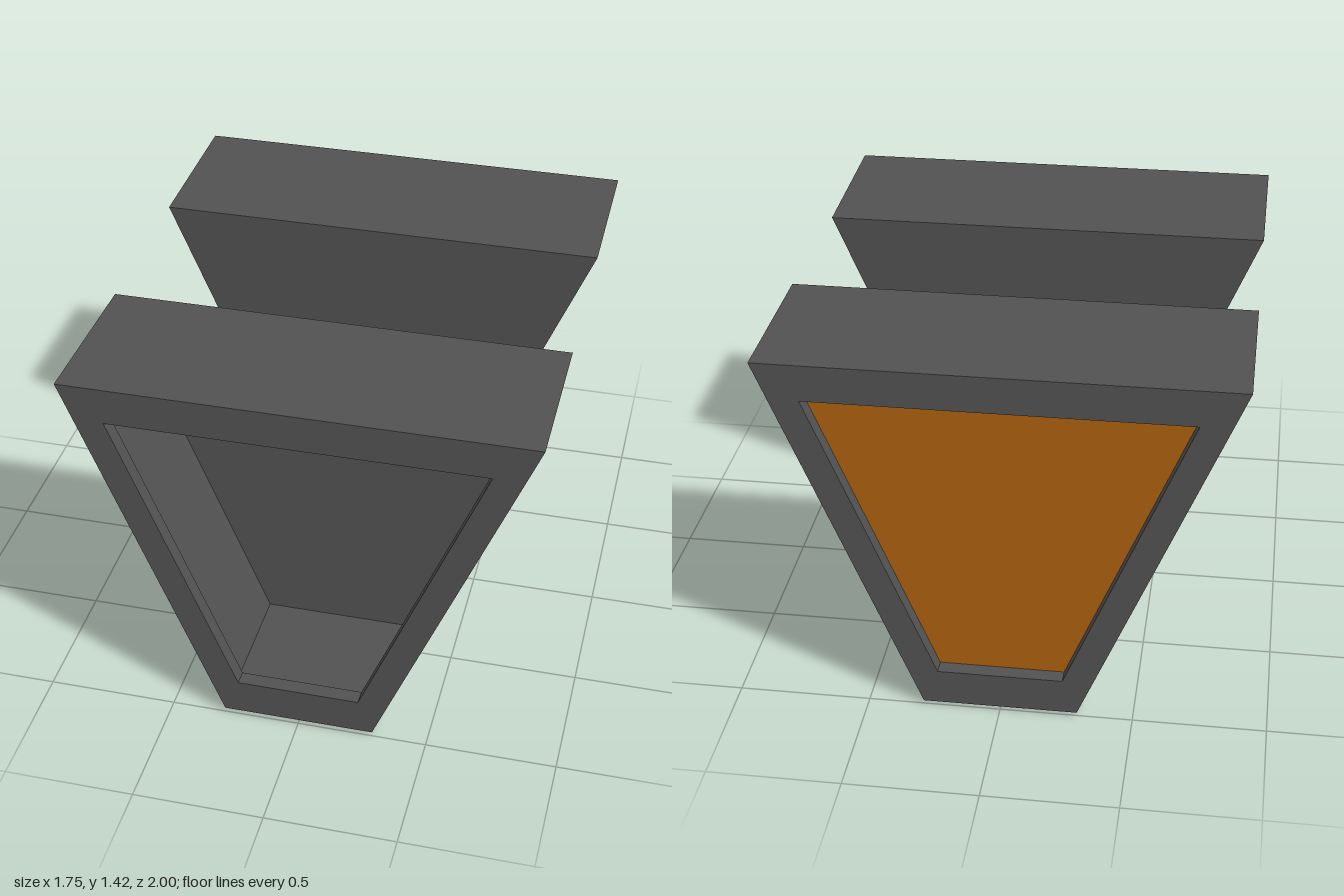
import * as THREE from 'three';

const HEIGHT = 1.4, DEPTH = 0.648, LIP = 0.06;
const housingGrey = new THREE.MeshStandardMaterial({ color: 0x525252, side: THREE.DoubleSide });
housingGrey.name = 'housing grey';
const panelOrange = new THREE.MeshStandardMaterial({ color: 0xae620f });
panelOrange.name = 'panel orange';

// Symmetric trapezoid corners, counter-clockwise from the bottom left
const trapezoid = (bottom, top, y0, y1) => [
  new THREE.Vector2(-bottom, y0), new THREE.Vector2(bottom, y0),
  new THREE.Vector2(top, y1), new THREE.Vector2(-top, y1),
];
const outer = trapezoid(0.291, 0.873, 0, HEIGHT);
const opening = trapezoid(0.235, 0.7, 0.14, HEIGHT - 0.14);

function addMesh(parent, name, geometry, material) {
  const mesh = new THREE.Mesh(geometry, material);
  mesh.name = name;
  parent.add(mesh);
  return mesh;
}

// Hollow shell: four side walls and a closed rear wall, open at the front
function shellGeometry(zBack, zFront) {
  const positions = [];
  const quad = (...corners) => {
    for (const i of [0, 1, 2, 0, 2, 3]) positions.push(...corners[i]);
  };
  const at = (i, z) => [outer[i % 4].x, outer[i % 4].y, z];
  for (let i = 0; i < 4; i++) {
    quad(at(i, zFront), at(i, zBack), at(i + 1, zBack), at(i + 1, zFront));
  }
  quad(at(3, zBack), at(2, zBack), at(1, zBack), at(0, zBack));
  const geometry = new THREE.BufferGeometry();
  geometry.setAttribute('position', new THREE.Float32BufferAttribute(positions, 3));
  geometry.computeVertexNormals();
  return geometry;
}

// Tapered housing whose opening faces +z
function createHousing(name) {
  const housing = new THREE.Group();
  housing.name = name;
  const lipZ = DEPTH / 2 - LIP;
  addMesh(housing, 'shell', shellGeometry(-DEPTH / 2, lipZ), housingGrey);

  // Bezel around the opening
  const shape = new THREE.Shape(outer);
  shape.holes.push(new THREE.Path(opening));
  const bezel = new THREE.ExtrudeGeometry(shape, { depth: LIP, bevelEnabled: false });
  addMesh(housing, 'bezel', bezel, housingGrey).position.z = lipZ;
  return housing;
}

export function createModel() {
  const model = new THREE.Group();
  model.name = 'pairedHousings';

  // Open front housing, leaning slightly back
  const front = createHousing('frontHousing');
  front.position.set(0, 0.009, 0.676);
  front.rotation.x = -0.0275;
  model.add(front);

  // Rear housing, turned round, with a recessed panel
  const rear = createHousing('rearHousing');
  rear.position.set(0, 0.013, -0.676);
  rear.rotation.y = Math.PI;
  const panel = new THREE.ShapeGeometry(new THREE.Shape(opening));
  addMesh(rear, 'recessedPanel', panel, panelOrange).position.z = DEPTH / 2 - LIP + 0.001;
  model.add(rear);

  return model;
}
